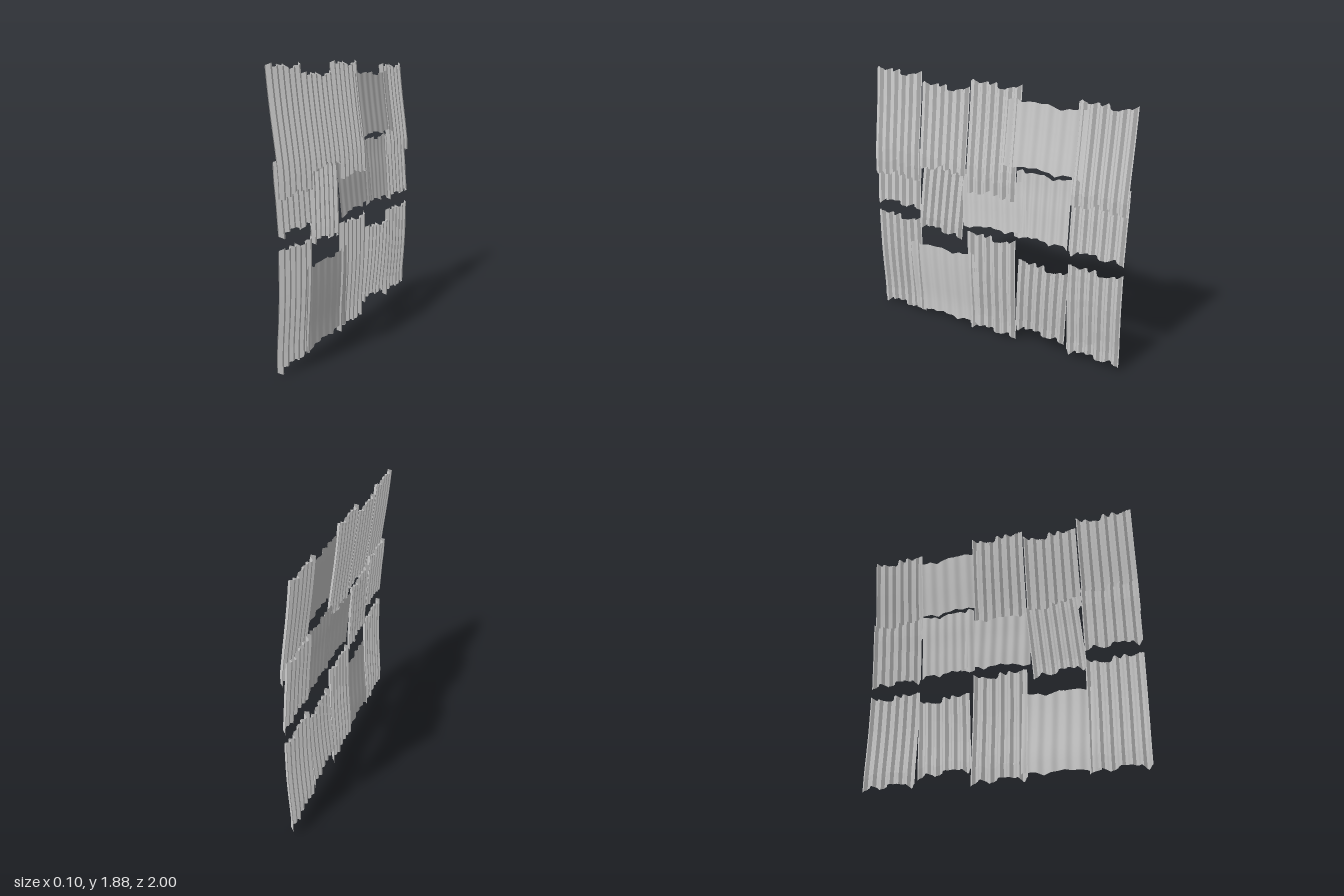
import * as THREE from 'three';

// Piecewise-linear lookup in evenly spaced samples, t in 0..1
function sample(list, t) {
  const f = THREE.MathUtils.clamp(t, 0, 1) * (list.length - 1);
  const i = Math.min(Math.floor(f), list.length - 2);
  return THREE.MathUtils.lerp(list[i], list[i + 1], f - i);
}

// Bow of each row: x sampled from the bottom (y0) to the top (y1)
const rows = {
  upper: { y0: 1.08, y1: 1.88, x: [0.04, 0.036, 0.016, -0.006, -0.025, -0.04] },
  middle: { y0: 0.82, y1: 1.33, x: [0.036, 0.026, 0.018, 0.006, 0.0] },
  lower: { y0: 0, y1: 0.8, x: [0.008, 0.008, 0.02, 0.028, 0.03, 0.03] },
};

// Ragged offsets along the top and bottom edges of a sheet
const topRag = [0, 0.02, -0.01, 0, 0.01, -0.005, 0.012, -0.02, -0.03, -0.01, -0.005, 0, 0.02];
const tornRag = [0, -0.01, 0.003, 0, -0.008, 0.02, 0.038, 0.008, 0.02, -0.008, 0.008, 0, -0.01];
const footRag = [0, -0.025, 0.005, 0.01, 0.012, 0.02, 0.015, 0, -0.02, 0.005, 0.015, 0.005, -0.025];

const ribs = 6;
// Trapezoid rib for creased sheets, sine wave for worn ones
const crease = (t) => THREE.MathUtils.clamp(2 * (1 - 4 * Math.abs((t % 1) - 0.5)), -1, 1);
const wave = (t) => Math.cos(t * Math.PI * 2);

// One corrugated sheet spanning za..zb (za > zb) and bottom..top
function sheet(name, row, za, zb, bottom, top, { worn = false, tilt = 0, lift = 0, rag = footRag } = {}) {
  const cols = worn ? 72 : 48;
  const geo = new THREE.PlaneGeometry(1, 1, cols, 8);
  const p = geo.attributes.position;
  const r = rows[row];
  const zc = (za + zb) / 2, yc = (top + bottom) / 2;
  const soft = worn ? 0.7 : 1;
  for (let i = 0; i < p.count; i++) {
    const u = p.getX(i) + 0.5, v = p.getY(i) + 0.5;
    const z0 = THREE.MathUtils.lerp(za, zb, u);
    const y0 = THREE.MathUtils.lerp(bottom + soft * sample(rag, u), top + soft * sample(topRag, u), v);
    // Slight turn of a loose sheet within the wall
    const z = z0 - tilt * (y0 - yc);
    const y = y0 + tilt * (z0 - zc);
    const bow = sample(r.x, (y - r.y0) / (r.y1 - r.y0));
    const rib = worn ? 0.007 * wave(u * ribs) : 0.012 * crease(u * ribs);
    p.setXYZ(i, bow + lift + rib, y, z);
  }
  geo.computeVertexNormals();
  const mesh = new THREE.Mesh(geo, new THREE.MeshStandardMaterial({
    color: 0xcccccc, side: THREE.DoubleSide, flatShading: !worn,
  }));
  mesh.name = name;
  return mesh;
}

export function createModel() {
  const wall = new THREE.Group();
  wall.name = 'corrugatedWall';

  // Upper row, lapping over the middle row
  const upper = new THREE.Group();
  upper.name = 'upperRow';
  upper.add(
    sheet('upperSheet1', 'upper', 1, 0.605, 1.1, 1.86, { rag: tornRag }),
    sheet('upperSheet2', 'upper', 0.597, 0.205, 1.21, 1.8, { rag: tornRag }),
    sheet('upperSheet3', 'upper', 0.198, -0.197, 1.1, 1.86, { rag: tornRag }),
    sheet('upperWornSheet', 'upper', -0.115, -0.69, 1.345, 1.78, { worn: true, lift: 0.012, tilt: 0.01 }),
    sheet('upperSheet5', 'upper', -0.605, -1, 1.16, 1.825, { rag: tornRag }),
  );

  // Middle row
  const middle = new THREE.Group();
  middle.name = 'middleRow';
  middle.add(
    sheet('middleSheet1', 'middle', 1, 0.605, 0.88, 1.31),
    sheet('middleTiltedSheet', 'middle', 0.595, 0.22, 0.745, 1.25, { tilt: 0.08 }),
    sheet('middleWornSheet1', 'middle', 0.225, -0.285, 0.855, 1.22, { worn: true, tilt: -0.07, lift: 0.004 }),
    sheet('middleWornSheet2', 'middle', -0.197, -0.603, 0.85, 1.31, { worn: true }),
    sheet('middleSheet5', 'middle', -0.605, -1, 0.83, 1.3),
  );

  // Lower row
  const lower = new THREE.Group();
  lower.name = 'lowerRow';
  lower.add(
    sheet('lowerSheet1', 'lower', 1, 0.605, 0.028, 0.785),
    sheet('lowerWornSheet', 'lower', 0.685, 0.12, 0.045, 0.605, { worn: true, tilt: -0.035, lift: 0.005 }),
    sheet('lowerSheet3', 'lower', 0.198, -0.197, 0.028, 0.785),
    sheet('lowerTiltedSheet', 'lower', -0.21, -0.6, 0.115, 0.66, { tilt: 0.055 }),
    sheet('lowerSheet5', 'lower', -0.605, -1, 0.06, 0.725),
  );

  wall.add(upper, middle, lower);
  return wall;
}
